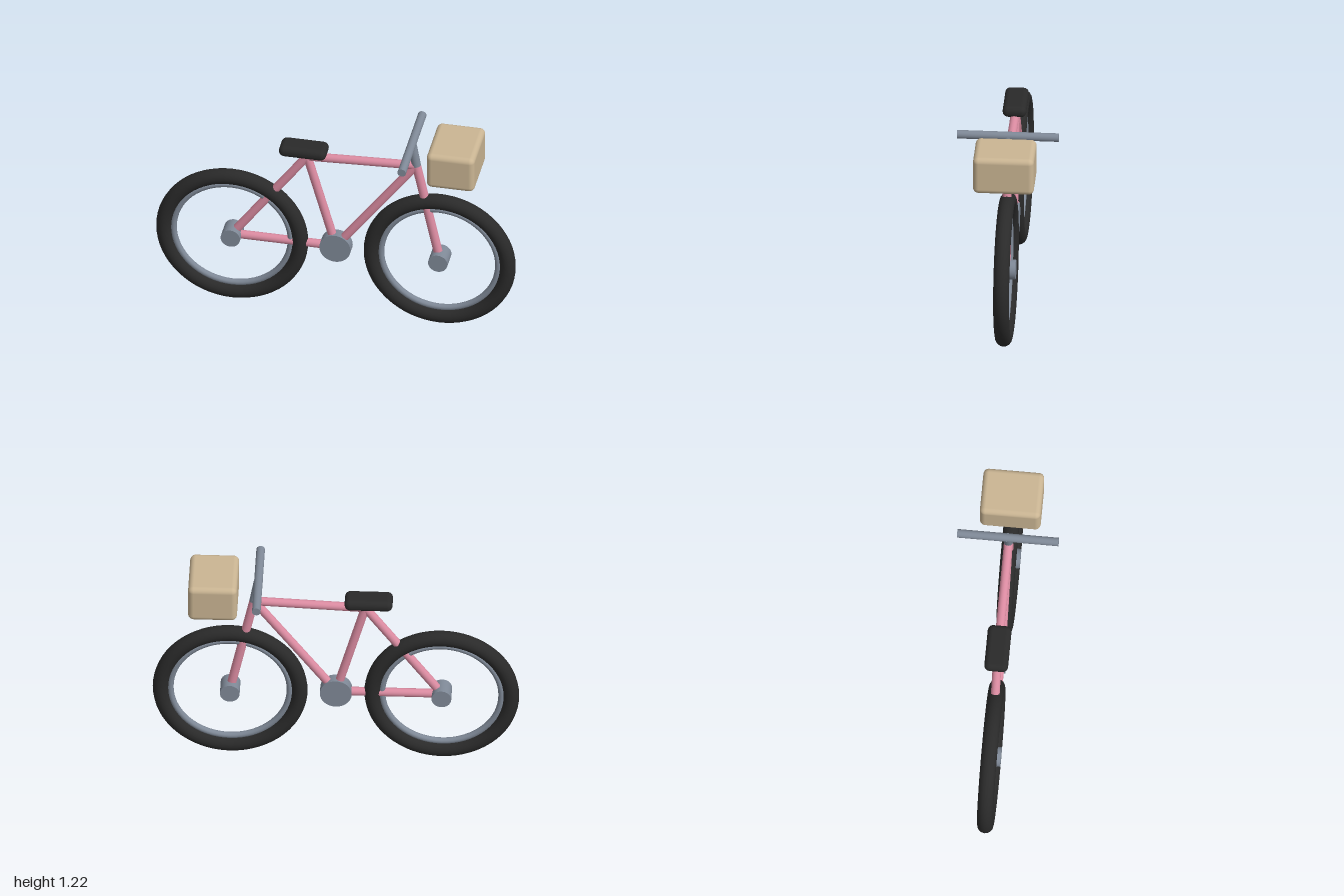
import * as THREE from 'three';
import { RoundedBoxGeometry } from 'three/addons/geometries/RoundedBoxGeometry.js';

function material(name, color) {
  const m = new THREE.MeshStandardMaterial({ color });
  m.name = name;
  return m;
}

export function createModel() {
  const bike = new THREE.Group();
  bike.name = 'bicycle';
  const pink = material('frame pink', 0xdc8ca2);
  const steel = material('steel grey', 0x7f8997);
  const black = material('rubber black', 0x2a2a2a);
  const tan = material('basket tan', 0xcab593);

  function add(name, geometry, mat, x = 0, y = 0, z = 0, parent = bike) {
    const mesh = new THREE.Mesh(geometry, mat);
    mesh.name = name;
    mesh.position.set(x, y, z);
    parent.add(mesh);
    return mesh;
  }

  // Round tube between two points
  const up = new THREE.Vector3(0, 1, 0);
  function tube(name, from, to, radius, mat) {
    const a = new THREE.Vector3(...from);
    const b = new THREE.Vector3(...to);
    const dir = b.clone().sub(a);
    const mesh = add(name, new THREE.CylinderGeometry(radius, radius, dir.length(), 20), mat);
    mesh.position.copy(a).add(b).multiplyScalar(0.5);
    mesh.quaternion.setFromUnitVectors(up, dir.normalize());
  }

  const axleY = 0.4225;
  const rear = [-0.5775, axleY, 0];
  const front = [0.5775, axleY, 0];
  const crank = [0, axleY, 0];
  const seat = [-0.16, 1.0, 0];
  const head = [0.448, 1.028, 0];
  const bar = [0.423, 1.168, 0];

  // Wheels: tyre, rim and hub
  for (const [name, at] of [['rearWheel', rear], ['frontWheel', front]]) {
    const wheel = new THREE.Group();
    wheel.name = name;
    wheel.position.set(...at);
    bike.add(wheel);
    add('tyre', new THREE.TorusGeometry(0.379, 0.0435, 16, 64), black, 0, 0, 0, wheel);
    add('rim', new THREE.TorusGeometry(0.326, 0.0175, 12, 64), steel, 0, 0, 0, wheel);
    const hub = new THREE.CylinderGeometry(0.054, 0.054, 0.108, 28).rotateX(Math.PI / 2);
    add('hub', hub, steel, 0, 0, 0, wheel);
  }

  // Crank disc
  add('crankDisc', new THREE.CylinderGeometry(0.087, 0.087, 0.062, 32).rotateX(Math.PI / 2), steel, ...crank);

  // Frame and fork
  tube('topTube', seat, head, 0.024, pink);
  tube('seatTube', seat, crank, 0.024, pink);
  tube('downTube', head, crank, 0.024, pink);
  tube('seatStay', rear, seat, 0.024, pink);
  tube('chainStay', rear, crank, 0.024, pink);
  tube('fork', head, front, 0.025, pink);

  // Steering
  tube('stem', head, bar, 0.025, steel);
  tube('handlebar', [bar[0], bar[1], -0.278], [bar[0], bar[1], 0.278], 0.0235, steel);

  // Saddle and front basket
  add('saddle', new RoundedBoxGeometry(0.262, 0.064, 0.13, 3, 0.03), black, -0.179, 1.046, 0);
  add('basket', new RoundedBoxGeometry(0.267, 0.218, 0.333, 4, 0.03), tan, 0.668, 1.113, 0);

  return bike;
}
